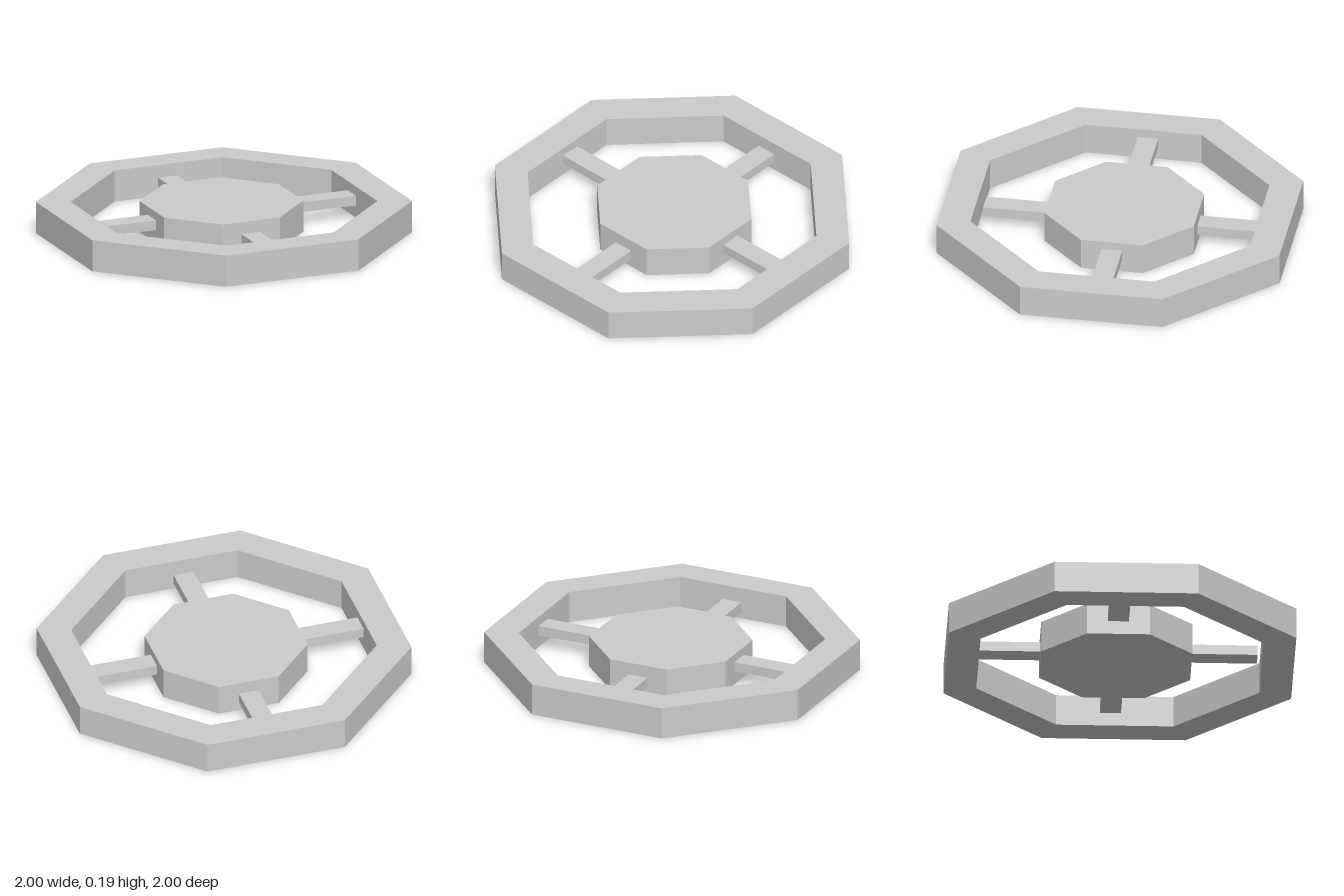
import * as THREE from 'three';

const material = new THREE.MeshStandardMaterial({ color: 0xcccccc, flatShading: true });

// Corners of a regular octagon with flat sides facing the axes.
function octagon(apothem) {
  const r = apothem / Math.cos(Math.PI / 8);
  return Array.from({ length: 8 }, (_, i) => {
    const a = (i + 0.5) * Math.PI / 4;
    return new THREE.Vector2(r * Math.cos(a), r * Math.sin(a));
  });
}

// Upright octagonal prism, optionally with an octagonal hole.
function prism(name, apothem, y0, y1, hole) {
  const shape = new THREE.Shape(octagon(apothem));
  if (hole) shape.holes.push(new THREE.Path(octagon(hole)));
  const geometry = new THREE.ExtrudeGeometry(shape, { depth: y1 - y0, bevelEnabled: false });
  geometry.rotateX(-Math.PI / 2).translate(0, y0, 0);
  const mesh = new THREE.Mesh(geometry, material);
  mesh.name = name;
  return mesh;
}

// Box given by its minimum and maximum corners.
function bar(name, min, max) {
  const size = max.map((v, i) => v - min[i]);
  const mesh = new THREE.Mesh(new THREE.BoxGeometry(...size), material);
  mesh.position.set(...max.map((v, i) => (v + min[i]) / 2));
  mesh.name = name;
  return mesh;
}

export function createModel() {
  const model = new THREE.Group();
  model.name = 'octagonalWheel';

  // Outer rim
  model.add(prism('rim', 1, 0.003, 0.19, 0.815));

  // Solid hub, slightly off centre
  const hub = prism('hub', 0.435, 0, 0.187);
  hub.position.set(-0.005, 0, -0.025);
  model.add(hub);

  // Spokes between hub and rim; the front one stops just short of the rim
  model.add(
    bar('leftSpoke', [0.4, 0.08, -0.085], [0.81, 0.138, 0.035]),
    bar('rightSpoke', [-0.815, 0.08, -0.085], [-0.4, 0.138, 0.035]),
    bar('frontSpoke', [-0.065, 0.055, 0.38], [0.055, 0.114, 0.79]),
    bar('backSpoke', [-0.065, 0.055, -0.815], [0.055, 0.114, -0.43]),
  );
  return model;
}
